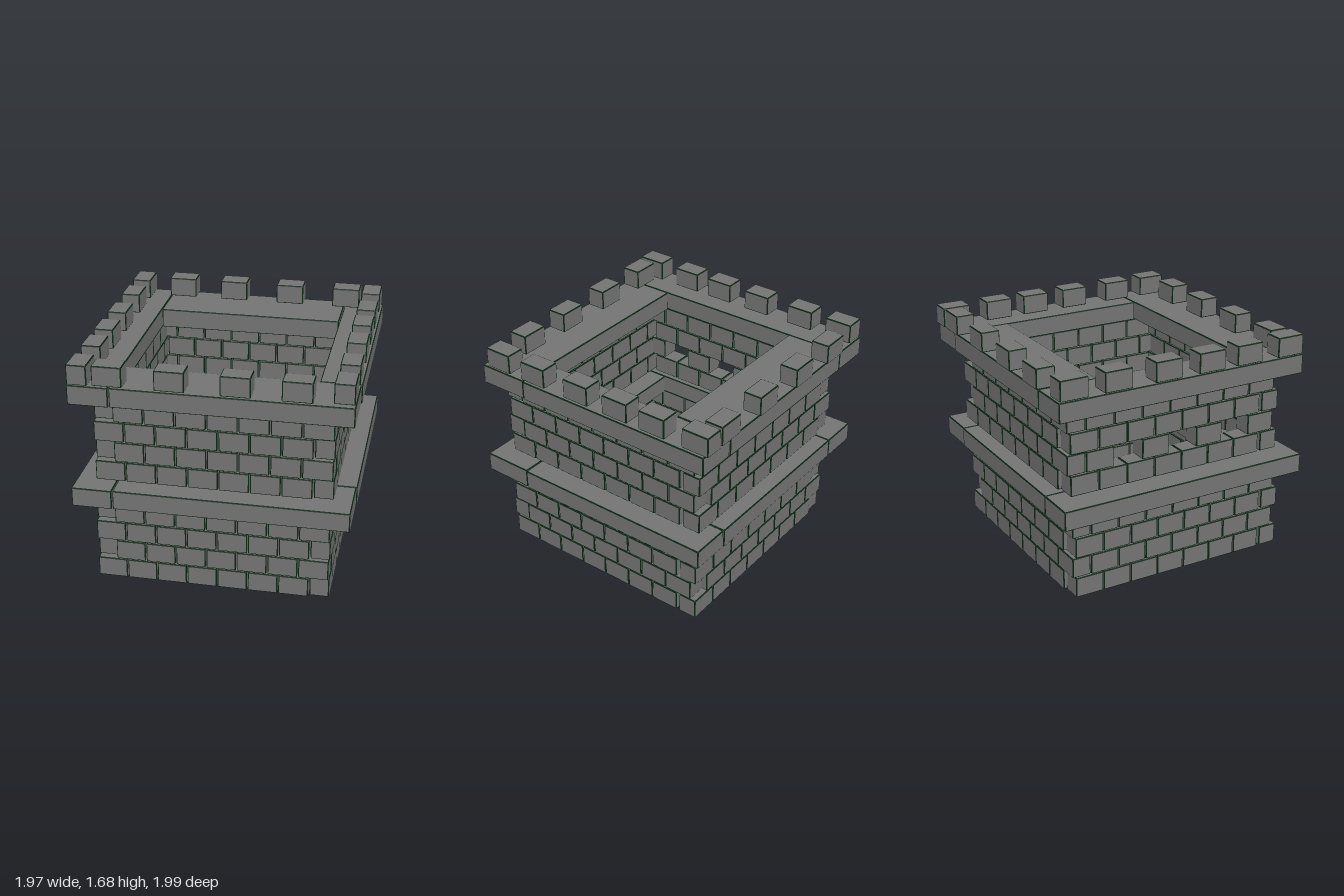
import * as THREE from 'three';
import { RoundedBoxGeometry } from 'three/addons/geometries/RoundedBoxGeometry.js';

const stone = new THREE.MeshStandardMaterial({ color: 0x747474 });
const mossyEdge = new THREE.MeshStandardMaterial({ color: 0x0c2412 });

const PITCH = 0.22, BRICK = 0.214, DEPTH = 0.14, COUNT = 7;
const HALF_X = 0.842, HALF_Z = 0.86;

// Box with narrow bevels: flat faces in group 0, bevels in group 1
const cache = new Map();
function bevelBox(w, h, d) {
  const key = [w, h, d].map((v) => v.toFixed(3)).join();
  if (cache.has(key)) return cache.get(key);
  const source = new RoundedBoxGeometry(w, h, d, 1, 0.008);
  const position = (source.index ? source.toNonIndexed() : source).getAttribute('position');
  const faces = [], bevels = [];
  const tri = new THREE.Triangle(), normal = new THREE.Vector3();
  for (let i = 0; i < position.count; i += 3) {
    tri.setFromAttributeAndIndices(position, i, i + 1, i + 2);
    tri.getNormal(normal);
    const flat = Math.max(Math.abs(normal.x), Math.abs(normal.y), Math.abs(normal.z)) > 0.999;
    for (const p of [tri.a, tri.b, tri.c]) (flat ? faces : bevels).push(p.x, p.y, p.z);
  }
  const geometry = new THREE.BufferGeometry();
  geometry.setAttribute('position', new THREE.Float32BufferAttribute(faces.concat(bevels), 3));
  geometry.addGroup(0, faces.length / 3, 0);
  geometry.addGroup(faces.length / 3, bevels.length / 3, 1);
  geometry.computeVertexNormals();
  cache.set(key, geometry);
  return geometry;
}

// Stone block given by its extents
function block(parent, name, x0, x1, y0, y1, z0, z1) {
  const mesh = new THREE.Mesh(bevelBox(x1 - x0, y1 - y0, z1 - z0), [stone, mossyEdge]);
  mesh.position.set((x0 + x1) / 2, (y0 + y1) / 2, (z0 + z1) / 2);
  mesh.name = name;
  parent.add(mesh);
}

// Four brick walls whose corners interlock in alternating directions
function brickTier(name, baseY, centreX, centreZ, isMissing) {
  const tier = new THREE.Group();
  tier.name = name;
  tier.position.set(centreX, 0, centreZ);
  const sides = [
    { name: 'frontWall', alongX: true, side: 1, dir: 1 },
    { name: 'rightWall', alongX: false, side: 1, dir: -1 },
    { name: 'backWall', alongX: true, side: -1, dir: -1 },
    { name: 'leftWall', alongX: false, side: -1, dir: 1 },
  ];
  for (const s of sides) {
    const wall = new THREE.Group();
    wall.name = s.name;
    const start = s.alongX ? HALF_X : HALF_Z - 0.02;
    const setBack = (s.alongX ? HALF_X : HALF_Z) - DEPTH;
    const outer = s.side * (s.alongX ? HALF_Z : HALF_X);
    const inner = outer - s.side * DEPTH;
    const lo = Math.min(outer, inner), hi = Math.max(outer, inner);
    for (let row = 0; row < 4; row++) {
      const y = baseY + row * 0.153;
      for (let i = 0; i < COUNT; i++) {
        if (isMissing(s.name, row, i)) continue;
        // Even rows start at the corner, odd rows behind the neighbouring wall
        const mid = s.dir * (-(row % 2 ? setBack : start) + (i + 0.5) * PITCH);
        const a = mid - BRICK / 2, b = mid + BRICK / 2;
        if (s.alongX) block(wall, 'brick', a, b, y, y + 0.149, lo, hi);
        else block(wall, 'brick', lo, hi, y, y + 0.149, a, b);
      }
    }
    tier.add(wall);
  }
  return tier;
}

// Ring of four overhanging slabs
function ledge(name, y0, y1, dz) {
  const ring = new THREE.Group();
  ring.name = name;
  ring.position.z = dz;
  block(ring, 'leftSlab', -0.985, -0.695, y0, y1, -0.98, 0.96);
  block(ring, 'frontSlab', -0.69, 0.975, y0, y1, 0.578, 0.955);
  block(ring, 'rightSlab', 0.69, 0.983, y0, y1, -0.975, 0.572);
  block(ring, 'backSlab', -0.693, 0.685, y0, y1, -0.98, -0.545);
  return ring;
}

// Merlons around the top, each row given by its start positions
function battlements() {
  const group = new THREE.Group();
  group.name = 'battlements';
  const y0 = 1.532, y1 = 1.678, len = 0.21;
  for (const z of [-0.97, -0.64, -0.255, 0.09, 0.4, 0.745])
    block(group, 'leftMerlon', -0.983, -0.84, y0, y1, z, z + len);
  for (const z of [-1, -0.65, -0.34, 0, 0.385, 0.705])
    block(group, 'rightMerlon', 0.825, 0.968, y0, y1, z, z + len);
  for (const x of [-0.81, -0.38, 0.07, 0.485])
    block(group, 'frontMerlon', x, x + len, y0, y1, 0.8, 0.943);
  for (const x of [-0.7, -0.29, 0.155, 0.595])
    block(group, 'backMerlon', x, x + len, y0, y1, -0.997, -0.855);
  return group;
}

export function createModel() {
  const tower = new THREE.Group();
  tower.name = 'brickTower';
  tower.add(
    brickTier('lowerTier', 0, -0.003, 0.04, () => false),
    ledge('lowerLedge', 0.612, 0.755, 0.03),
    // Three openings in the left wall's second course
    brickTier('upperTier', 0.777, 0.003, 0.01, (wall, row, i) => wall === 'leftWall' && row === 1 && i % 2 === 1),
    ledge('upperLedge', 1.386, 1.53, 0),
    battlements(),
  );
  return tower;
}
